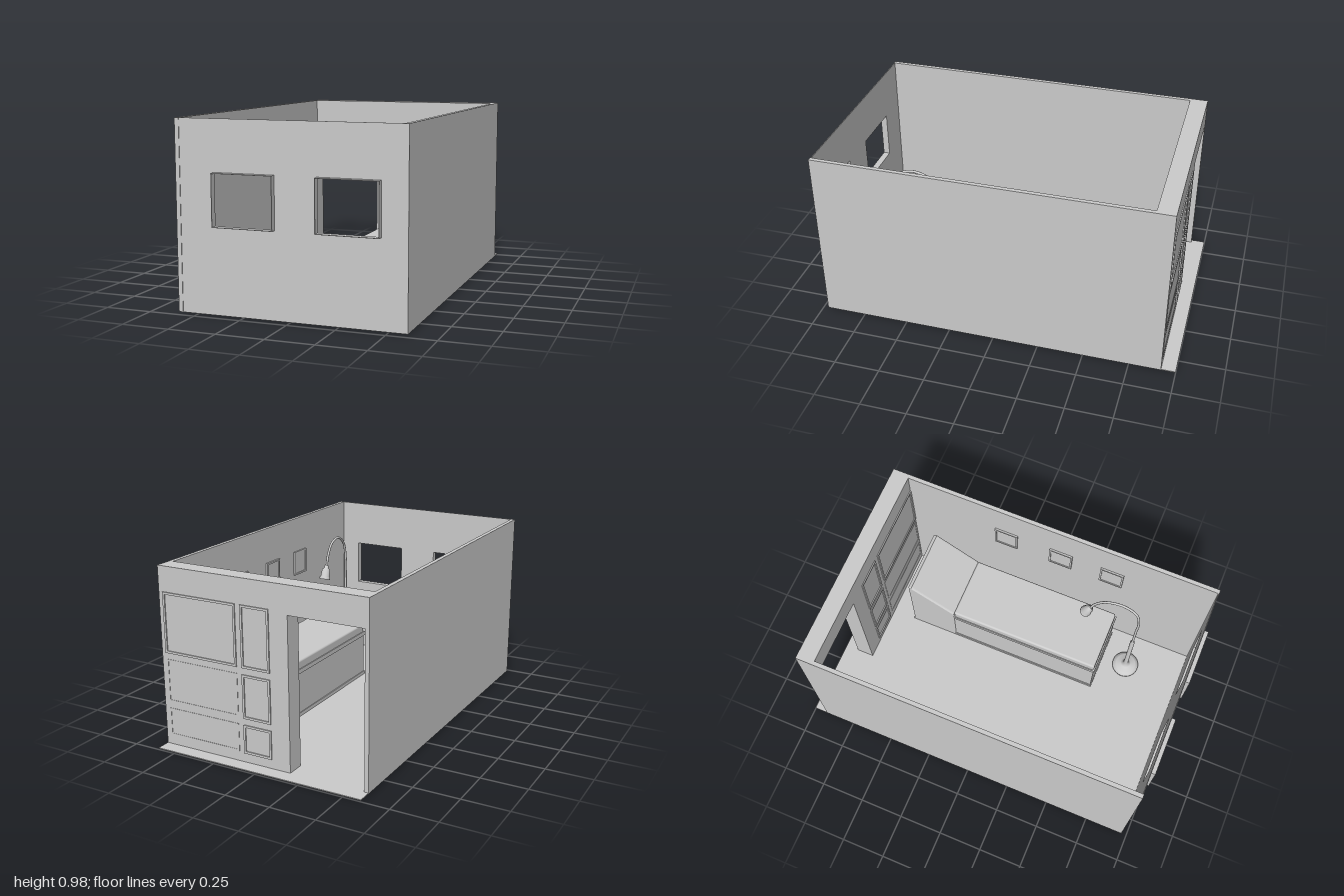
import * as THREE from 'three';
import { RoundedBoxGeometry } from 'three/addons/geometries/RoundedBoxGeometry.js';

const mat = new THREE.MeshStandardMaterial({ color: 0xcccccc, side: THREE.DoubleSide });

export function createModel() {
  const model = new THREE.Group();

  const add = (name, geometry, parent = model) => {
    const mesh = new THREE.Mesh(geometry, mat);
    mesh.name = name;
    parent.add(mesh);
    return mesh;
  };
  // Box given by its limits
  const box = (name, x0, x1, y0, y1, z0, z1) => {
    const mesh = add(name, new THREE.BoxGeometry(x1 - x0, y1 - y0, z1 - z0));
    mesh.position.set((x0 + x1) / 2, (y0 + y1) / 2, (z0 + z1) / 2);
    return mesh;
  };
  const rect = (C, x0, x1, y0, y1) => new C([
    new THREE.Vector2(x0, y0), new THREE.Vector2(x1, y0),
    new THREE.Vector2(x1, y1), new THREE.Vector2(x0, y1),
  ]);
  // Plate in the xy plane with rectangular holes, from z0 to z1
  const plate = (name, outer, holes, z0, z1) => {
    const shape = rect(THREE.Shape, ...outer);
    holes.forEach(h => shape.holes.push(rect(THREE.Path, ...h)));
    const g = new THREE.ExtrudeGeometry(shape, { depth: z1 - z0, bevelEnabled: false });
    return add(name, g.translate(0, 0, z0));
  };
  const inset = ([x0, x1, y0, y1], t) => [x0 + t, x1 - t, y0 + t, y1 - t];

  // Floor and side walls
  box('floor', -0.6, 0.6, 0.005, 0.01, -1, 0.967);
  box('rightWall', -0.6, -0.577, 0.01, 0.98, -0.923, 0.97);
  box('leftWall', 0.577, 0.6, 0.01, 0.98, -0.923, 0.97);

  // Front wall with two windows and projecting surrounds
  const windows = [[-0.392, -0.07, 0.45, 0.718], [0.148, 0.468, 0.45, 0.718]];
  plate('frontWall', [-0.577, 0.577, 0.01, 0.98], windows, 0.963, 0.967);
  windows.forEach(w => plate('windowSurround', w, [inset(w, 0.003)], 0.963, 1));

  // Thick back wall with the doorway
  const back = new THREE.Shape([
    [-0.577, 0.83], [-0.163, 0.83], [-0.163, 0.01], [0.577, 0.01], [0.577, 0.98], [-0.577, 0.98],
  ].map(p => new THREE.Vector2(...p)));
  add('backWall', new THREE.ExtrudeGeometry(back, { depth: 0.098, bevelEnabled: false })
    .translate(0, 0, -0.923));

  // Panel mouldings on both faces of the back wall
  const rows = [[0.52, 0.845], [0.25, 0.485], [0.06, 0.215]];
  rows.forEach(([y0, y1], i) => {
    for (const [x0, x1] of [[-0.057, 0.107], [0.137, 0.575]]) {
      const shallow = i > 0 && x0 > 0;
      const d = shallow ? 0.002 : 0.006;
      const p = [x0, x1, y0, y1];
      plate('outerPanelMoulding', p, [inset(p, 0.012)], -0.923 - d, -0.923);
      plate('innerPanelMoulding', p, [inset(p, 0.012)], -0.825, -0.825 + d);
    }
  });

  // Framed pictures on the left wall
  for (const z of [-0.24, 0.09, 0.395]) {
    const frame = plate('pictureFrame', [-0.068, 0.068, 0.63, 0.775],
      [[-0.058, 0.058, 0.64, 0.765]], 0, 0.01);
    frame.rotation.y = -Math.PI / 2;
    frame.position.set(0.577, 0, z);
    box('picture', 0.572, 0.577, 0.64, 0.765, z - 0.058, z + 0.058);
  }

  // Bed: base, rail, mattress and raised back
  box('bedBase', 0.17, 0.535, 0.003, 0.27, -0.41, 0.48);
  box('bedPlinth', 0.165, 0.54, 0.003, 0.03, -0.69, 0.485);
  box('bedRail', 0.165, 0.54, 0.265, 0.29, -0.41, 0.485);
  add('mattress', new RoundedBoxGeometry(0.365, 0.06, 0.885, 3, 0.012))
    .position.set(0.3525, 0.31, 0.035);

  // Wedge profile is drawn as (-z, y), then turned to run along x
  const wedge = new THREE.Shape([
    [0.41, 0.003], [0.685, 0.003], [0.685, 0.47], [0.67, 0.475], [0.41, 0.325],
  ].map(p => new THREE.Vector2(...p)));
  const backrest = add('raisedBack', new THREE.ExtrudeGeometry(wedge, {
    depth: 0.351, bevelThickness: 0.012, bevelSize: 0.008, bevelOffset: -0.004, bevelSegments: 3,
  }));
  backrest.rotation.y = Math.PI / 2;
  backrest.position.x = 0.177;

  // Floor lamp: turned base and lower stem
  const lamp = new THREE.Group();
  lamp.name = 'floorLamp';
  model.add(lamp);
  const baseProfile = [
    [0, 0], [0.078, 0], [0.078, 0.014], [0.062, 0.022], [0.058, 0.028],
    [0.03, 0.034], [0.013, 0.05], [0.013, 0.39], [0, 0.39],
  ].map(p => new THREE.Vector2(...p));
  add('lampBase', new THREE.LatheGeometry(baseProfile, 32), lamp).position.set(0.38, 0.01, 0.63);

  // Curved neck
  const neck = new THREE.CatmullRomCurve3([
    [0.38, 0.39, 0.63], [0.38, 0.55, 0.63], [0.38, 0.7, 0.63], [0.378, 0.8, 0.6],
    [0.373, 0.852, 0.52], [0.366, 0.835, 0.43], [0.361, 0.77, 0.375], [0.358, 0.7, 0.35],
  ].map(p => new THREE.Vector3(...p)));
  add('lampNeck', new THREE.TubeGeometry(neck, 64, 0.007, 12), lamp);

  // Lamp head, open at the lower end
  const headProfile = [
    [0, 0.022], [0.024, 0.022], [0.03, 0], [0.032, 0], [0.032, 0.012],
    [0.027, 0.016], [0.024, 0.06], [0.013, 0.068], [0.011, 0.085], [0, 0.085],
  ].map(p => new THREE.Vector2(...p));
  const head = add('lampHead', new THREE.LatheGeometry(headProfile, 28), lamp);
  head.position.set(0.358, 0.635, 0.328);
  head.rotation.x = 0.3;

  return model;
}
